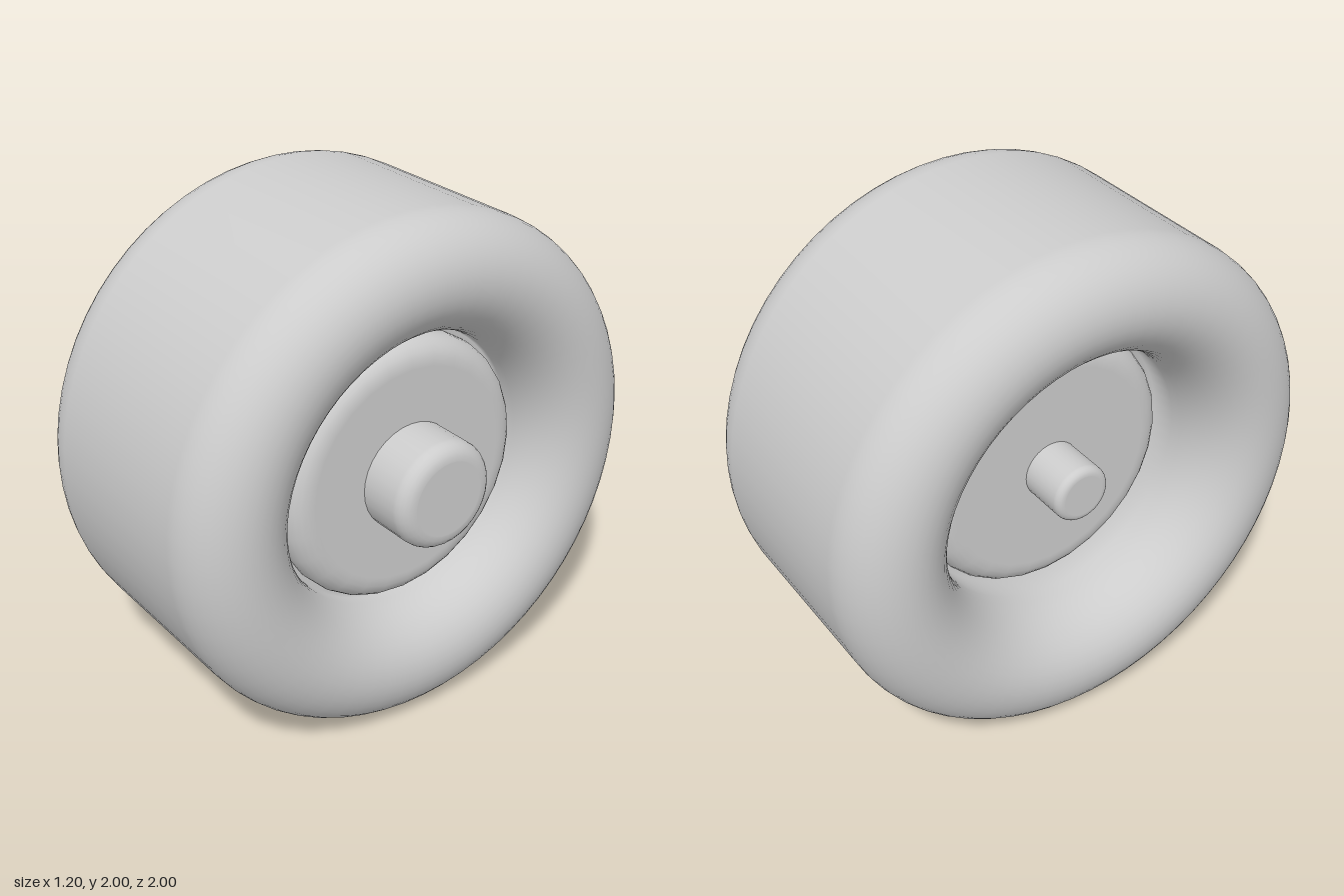
import * as THREE from 'three';

const grey = new THREE.MeshStandardMaterial({ color: 0xcccccc });
grey.name = 'light grey';

// Points [radius, axial position] along an elliptical quarter from angle a to b
function arc(cr, cx, rr, rx, a, b, n = 10) {
  const pts = [];
  for (let i = 0; i <= n; i++) {
    const t = a + (b - a) * i / n;
    pts.push(new THREE.Vector2(cr + rr * Math.cos(t), cx + rx * Math.sin(t)));
  }
  return pts;
}

// Revolve a profile about the x axis through the wheel centre
function revolve(name, points, segments) {
  const geo = new THREE.LatheGeometry(points, segments);
  geo.rotateZ(-Math.PI / 2);
  const mesh = new THREE.Mesh(geo, grey);
  mesh.name = name;
  mesh.position.y = 1;
  return mesh;
}

// Solid disc from x0 to x1 with rounded rims
function roundedDisc(name, x0, x1, radius, round, depth, segments) {
  const r = radius - round;
  return revolve(name, [
    new THREE.Vector2(0, x0),
    new THREE.Vector2(r * 0.97, x0),
    ...arc(r, x0 + depth, round, depth, -Math.PI / 2, 0, 6),
    ...arc(r, x1 - depth, round, depth, 0, Math.PI / 2, 6),
    new THREE.Vector2(r * 0.97, x1),
    new THREE.Vector2(0, x1),
  ], segments);
}

export function createModel() {
  const group = new THREE.Group();
  group.name = 'wheel';
  const H = Math.PI / 2;

  // Tyre: rounded shoulders, straight tread and flared openings on both sides
  const tyre = [
    new THREE.Vector2(0.35, -0.2),
    new THREE.Vector2(0.54, -0.2),
    ...arc(0.78, -0.3, 0.235, 0.3, -2 * H, -H),
    ...arc(0.78, -0.38, 0.22, 0.22, -H, 0).slice(1),
    ...arc(0.78, 0.335, 0.22, 0.22, 0, H),
    ...arc(0.78, 0.29, 0.235, 0.265, H, 2 * H).slice(1),
    new THREE.Vector2(0.54, 0.27),
    new THREE.Vector2(0.35, 0.27),
  ];
  group.add(revolve('tyre', tyre, 64));

  // Recessed hub plate and the axle caps on either side
  group.add(roundedDisc('hubPlate', -0.27, 0.38, 0.525, 0.09, 0.09, 28));
  group.add(roundedDisc('outerCap', 0.2, 0.6, 0.21, 0.06, 0.06, 32));
  group.add(roundedDisc('innerAxle', -0.47, -0.1, 0.115, 0.03, 0.03, 32));

  return group;
}
